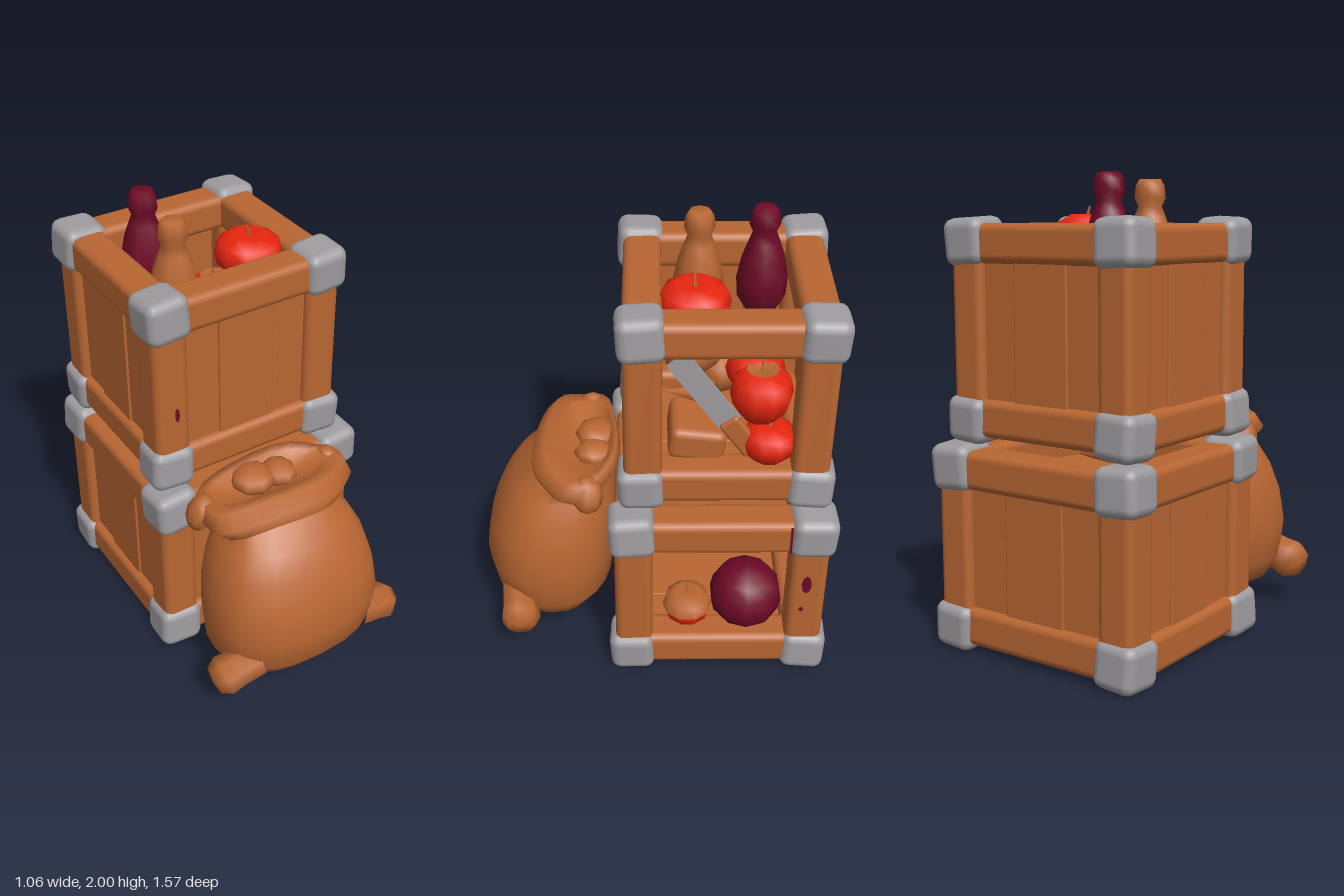
import * as THREE from 'three';
import { RoundedBoxGeometry } from 'three/addons/geometries/RoundedBoxGeometry.js';

const mat = (name, color) =>
  Object.assign(new THREE.MeshStandardMaterial({ color }), { name });

export function createModel() {
  const model = new THREE.Group();
  model.name = 'stackedCrates';
  const brown = mat('brown', 0xb86632);
  const grey = mat('grey', 0x9f9c9f);
  const red = mat('red', 0xea260f);
  const purple = mat('purple', 0x6e0a26);

  const add = (parent, name, geometry, material, x = 0, y = 0, z = 0) => {
    const m = new THREE.Mesh(geometry, material);
    m.name = name;
    m.position.set(x, y, z);
    parent.add(m);
    return m;
  };
  const bar = (w, h, d, r = 0.035) => new RoundedBoxGeometry(w, h, d, 2, r);
  const lathe = (pts, seg) => new THREE.LatheGeometry(pts.map(p => new THREE.Vector2(...p)), seg);

  // Crate: three boarded sides, open on +x, metal corner caps
  function crate(name, cx, cz, y0, y1, hx, hz, cap, t) {
    const g = new THREE.Group();
    g.name = name;
    g.position.set(cx, (y0 + y1) / 2, cz);
    const hy = (y1 - y0) / 2, inset = 0.025;
    const bx = hx - inset - t / 2, by = hy - inset - t / 2, bz = hz - inset - t / 2;
    for (const s of [-1, 1]) for (const u of [-1, 1]) {
      add(g, 'post', bar(t, 2 * by, t), brown, s * bx, 0, u * bz);
      add(g, 'sideRail', bar(t, t, 2 * bz), brown, s * bx, u * by, 0);
      add(g, 'crossRail', bar(2 * bx, t, t), brown, 0, s * by, u * bz);
      for (const v of [-1, 1]) {
        const c = add(g, 'cornerCap', bar(cap, cap, cap, 0.045), grey,
          s * (hx - cap / 2), u * (hy - cap / 2), v * (hz - cap / 2));
        c.rotation.set(0.05 * s * v, 0.04 * u, 0.05 * v * u);
      }
    }
    // Boards of the walls and floor, overlapping so no light shows through
    const n = 3, wx = 2 * bx / n, wz = 2 * bz / n;
    for (let i = 0; i < n; i++) {
      const k = i - (n - 1) / 2, wob = (i % 2) * 0.01;
      for (const s of [-1, 1])
        add(g, s > 0 ? 'frontBoard' : 'backBoard',
          bar(wx + 0.02, 2 * by, 0.04, 0.006), brown, k * wx, 0, s * (bz + 0.025 + wob));
      add(g, 'sideBoard', bar(0.04, 2 * by, wz + 0.02, 0.006), brown, -bx - 0.025 - wob, 0, k * wz);
      add(g, 'floorBoard', bar(wx + 0.02, 0.04, 2 * bz, 0.006), brown, k * wx, -by - 0.02 + wob, 0);
    }
    model.add(g);
    return g;
  }
  const lower = crate('lowerCrate', 0, -0.29, 0.005, 0.895, 0.525, 0.49, 0.2, 0.165);
  crate('upperCrate', -0.03, -0.3, 0.905, 1.828, 0.475, 0.455, 0.195, 0.16);

  // Sagging lid inside the lower crate
  add(lower, 'lid', bar(0.86, 0.04, 0.82, 0.008), brown, 0, 0.235, 0).rotation.set(0.07, 0, 0.14);

  // Stains on the posts
  const oval = (r, h) => new THREE.CylinderGeometry(r, r, 0.006, 8).scale(1, 1, h / r).rotateX(Math.PI / 2);
  add(model, 'frontStain', new THREE.BoxGeometry(0.03, 0.34, 0.006), purple, 0.41, 0.45, 0.176);
  add(model, 'sideStain', oval(0.022, 0.05), purple, 0.501, 0.53, -0.665).rotation.y = Math.PI / 2;
  add(model, 'smallSideStain', oval(0.01, 0.012), purple, 0.501, 0.38, -0.65).rotation.y = Math.PI / 2;
  add(model, 'railStain', new THREE.BoxGeometry(0.006, 0.14, 0.01), purple, 0.501, 0.79, -0.58);
  add(model, 'smallFrontStain', oval(0.01, 0.035), purple, -0.385, 1.28, 0.131);

  // Sack from stacked cross-sections: y, z centre, half width, half depth, droop
  const rings = [
    [0.08, 0.49, 0, 0, 0], [0.09, 0.48, 0.2, 0.11, 0], [0.14, 0.48, 0.33, 0.21, 0],
    [0.24, 0.48, 0.39, 0.28, 0], [0.4, 0.485, 0.405, 0.305, 0], [0.55, 0.465, 0.39, 0.295, 0],
    [0.68, 0.44, 0.355, 0.265, 0], [0.78, 0.415, 0.305, 0.225, 0], [0.86, 0.38, 0.26, 0.17, 0.01],
    [0.865, 0.365, 0.32, 0.185, 0.05], [0.915, 0.35, 0.375, 0.195, 0.05], [0.97, 0.33, 0.35, 0.16, 0.04],
    [0.95, 0.31, 0.28, 0.115, 0.02], [0.9, 0.31, 0.22, 0.09, 0], [0.87, 0.31, 0, 0, 0],
  ];
  const N = 24, pos = [], idx = [];
  rings.forEach(([y, cz, rx, rz, droop], i) => {
    for (let j = 0; j < N; j++) {
      const a = j / N * Math.PI * 2, c = Math.cos(a), s = Math.sin(a);
      const sq = v => Math.sign(v) * Math.abs(v) ** 0.85;
      const fold = droop ? 1 + 0.04 * Math.cos(5 * a) : 1;
      pos.push(-0.045 + rx * fold * sq(c), y - droop * c * c, cz + rz * fold * sq(s));
      if (i < rings.length - 1) {
        const p = i * N + j, q = i * N + (j + 1) % N;
        idx.push(p, p + N, q, q, p + N, q + N);
      }
    }
  });
  const sackGeo = new THREE.BufferGeometry();
  sackGeo.setAttribute('position', new THREE.Float32BufferAttribute(pos, 3));
  sackGeo.setIndex(idx);
  sackGeo.computeVertexNormals();
  const sack = new THREE.Group();
  sack.name = 'sack';
  model.add(sack);
  add(sack, 'sackBody', sackGeo, brown);
  const lump = (parent, name, x, y, z, sx, sy, sz, rx = 0, rz = 0) => {
    const m = add(parent, name, new THREE.SphereGeometry(1, 8, 6), brown, x, y, z);
    m.scale.set(sx, sy, sz);
    m.rotation.set(rx, 0, rz);
  };
  for (const s of [-1, 1]) {
    // Tied corner: a stubby knob pointing outwards
    const knob = add(sack, 'sackCorner', lathe([[0.085, -0.14], [0.085, -0.03],
      [0.092, 0.03], [0.065, 0.075], [0, 0.085]], 7), brown, -0.045 + s * 0.4, 0.22, 0.62);
    knob.rotation.set(0.35, 0, -s * 1.85);
    lump(sack, 'brimTip', -0.045 + s * 0.335, 0.87, 0.29, 0.055, 0.085, 0.07, 0, s * 0.5);
  }
  lump(sack, 'sackFill', -0.1, 0.91, 0.26, 0.1, 0.06, 0.1);
  lump(sack, 'sackFill', 0.03, 0.9, 0.27, 0.08, 0.055, 0.09);

  // Round-bellied bottles
  const bottle = (name, m, x, z, top) => add(model, name, lathe([
    [0, -0.5], [0.065, -0.48], [0.105, -0.41], [0.11, -0.32], [0.09, -0.22], [0.065, -0.15],
    [0.05, -0.11], [0.066, -0.075], [0.06, -0.025], [0.045, 0], [0, 0],
  ], 8), m, x, top, z);
  bottle('purpleBottle', purple, -0.19, -0.46, 2.0);
  bottle('brownBottle', brown, -0.2, -0.19, 1.98);

  // Fruit with a dimple and stalk; crown gives the brown cap's outline from its rim inwards
  function fruit(x, y, z, r, h, crown) {
    const g = new THREE.Group();
    g.name = 'fruit';
    g.position.set(x, y, z);
    add(g, 'fruitBody', lathe([[0, -h], [r * 0.55, -h * 0.92], [r * 0.9, -h * 0.4], [r, h * 0.1],
      [r * 0.88, h * 0.65], [r * 0.5, h], [0, h * 0.85]], 10), red);
    if (crown) add(g, 'fruitCrown', lathe([...crown.map(([a, b]) => [r * a, h * b]), [0, h * 0.9]], 10), brown);
    add(g, 'stalk', new THREE.CylinderGeometry(0.005, 0.01, 0.06, 5), brown, 0, h + 0.005, 0).rotation.z = 0.3;
    model.add(g);
  }
  const smallCap = [[0.52, 1.01]];
  const largeCap = [[1.02, 0.1], [0.91, 0.67], [0.52, 1.03]];
  fruit(0.145, 1.745, -0.16, 0.15, 0.095, null);
  fruit(0.13, 1.42, -0.42, 0.125, 0.1, smallCap);
  fruit(0.25, 1.38, -0.44, 0.132, 0.12, smallCap);
  fruit(0.29, 1.165, -0.48, 0.12, 0.09, null);
  fruit(0.34, 0.25, -0.15, 0.11, 0.085, largeCap);

  // Cabbage in the lower crate
  add(model, 'cabbage', new THREE.SphereGeometry(0.168, 10, 8), purple, 0.3, 0.29, -0.42);

  // Knife, root, loaves and potato in the upper crate
  const knife = new THREE.Group();
  knife.name = 'knife';
  knife.position.set(0.31, 1.43, -0.2);
  knife.rotation.x = 0.62;
  add(knife, 'blade', new THREE.BoxGeometry(0.02, 0.38, 0.1), grey);
  add(knife, 'handle', bar(0.05, 0.2, 0.09, 0.015), brown, 0, -0.27, 0);
  model.add(knife);
  add(model, 'root', new THREE.ConeGeometry(0.06, 0.22, 7), brown, 0.25, 1.39, -0.13).rotation.x = 1.5;
  add(model, 'loaf', bar(0.28, 0.15, 0.24), brown, 0.17, 1.14, -0.18).rotation.x = -0.12;
  lump(model, 'roundLoaf', 0.17, 1.54, -0.17, 0.11, 0.09, 0.14, 0.5);
  lump(model, 'potato', 0.04, 1.36, -0.28, 0.1, 0.1, 0.1);

  return model;
}
